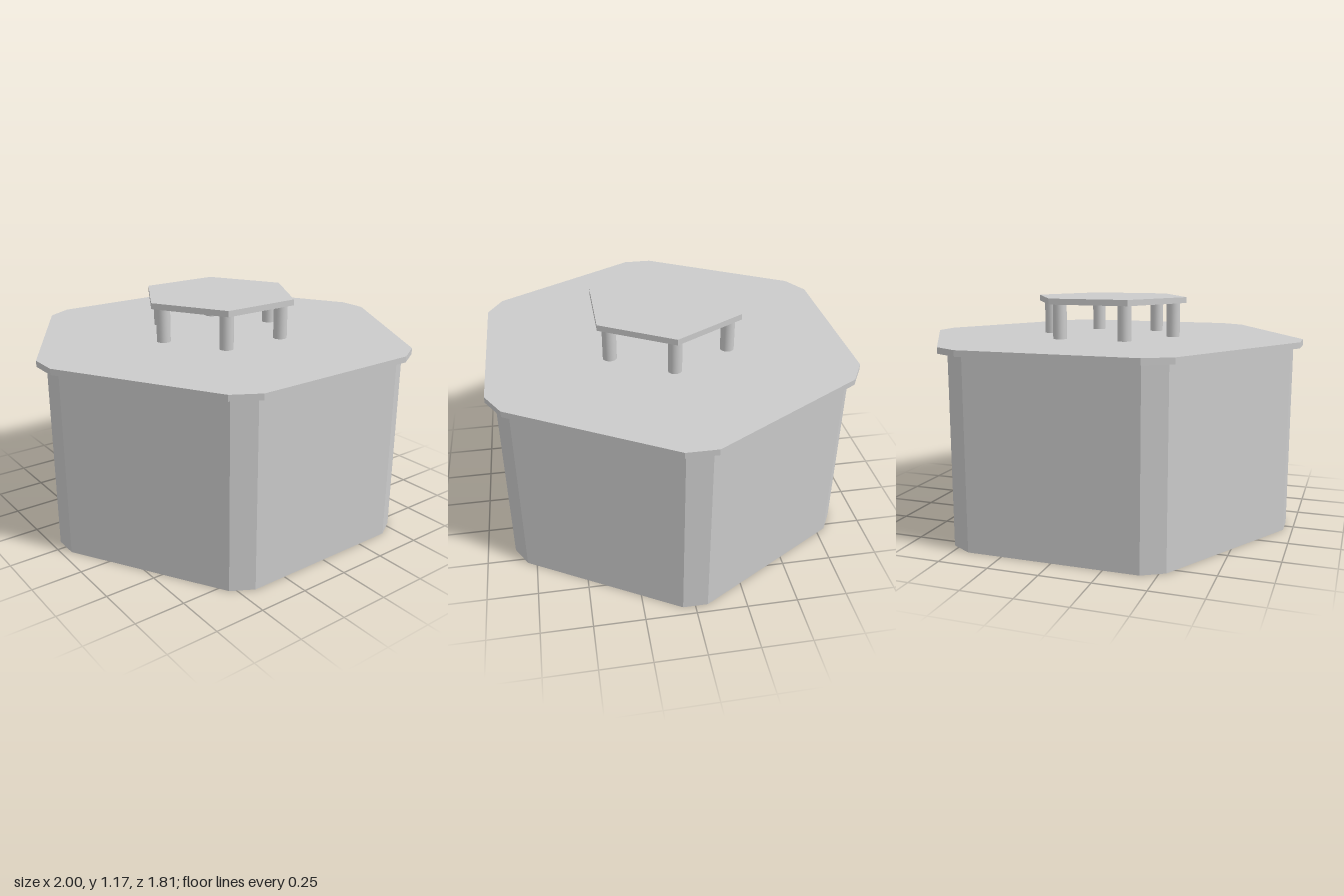
import * as THREE from 'three';

const flat = new THREE.MeshStandardMaterial({ color: 0xcccccc, flatShading: true });
const flatOpen = new THREE.MeshStandardMaterial({ color: 0xcccccc, flatShading: true, side: THREE.DoubleSide });
const smooth = new THREE.MeshStandardMaterial({ color: 0xcccccc });

// Hexagonal prism with clipped corners: each hexagon corner becomes two points,
// `clip` radians to either side of it.
function clippedHexPrism(radius, y0, y1, clip, open) {
  const geo = new THREE.CylinderGeometry(radius, radius, y1 - y0, 12, 1, open, Math.PI / 12);
  geo.translate(0, (y0 + y1) / 2, 0);
  const p = geo.attributes.position;
  for (let i = 0; i < p.count; i++) {
    const x = p.getX(i), z = p.getZ(i);
    if (Math.hypot(x, z) < 0.01) continue;
    const a = Math.atan2(z, x);
    const corner = Math.round(a / (Math.PI / 3)) * (Math.PI / 3);
    const b = corner + Math.sign(a - corner) * clip;
    p.setX(i, radius * Math.cos(b));
    p.setZ(i, radius * Math.sin(b));
  }
  return geo;
}

export function createModel() {
  const model = new THREE.Group();
  const add = (name, geometry, material, parent = model) => {
    const mesh = new THREE.Mesh(geometry, material);
    mesh.name = name;
    parent.add(mesh);
    return mesh;
  };

  // Thin-walled body, open underneath
  add('bodyWall', clippedHexPrism(0.957, 0, 0.94, 0.064, true), flatOpen);

  // Overhanging lid
  add('lid', clippedHexPrism(1.003, 0.94, 0.97, 0.075, false), flat);

  // Raised handle: six round posts under a hexagonal plate
  const handle = new THREE.Group();
  handle.name = 'handle';
  model.add(handle);
  const postGeometry = new THREE.CylinderGeometry(0.035, 0.035, 0.175, 20, 1, true);
  for (let i = 0; i < 6; i++) {
    const a = (i * Math.PI) / 3;
    add('handlePost', postGeometry, smooth, handle)
      .position.set(0.343 * Math.cos(a), 1.0575, 0.343 * Math.sin(a));
  }
  const plate = new THREE.CylinderGeometry(0.412, 0.412, 0.03, 6, 1, false, Math.PI / 2);
  add('handlePlate', plate, flat, handle).position.y = 1.16;

  return model;
}
